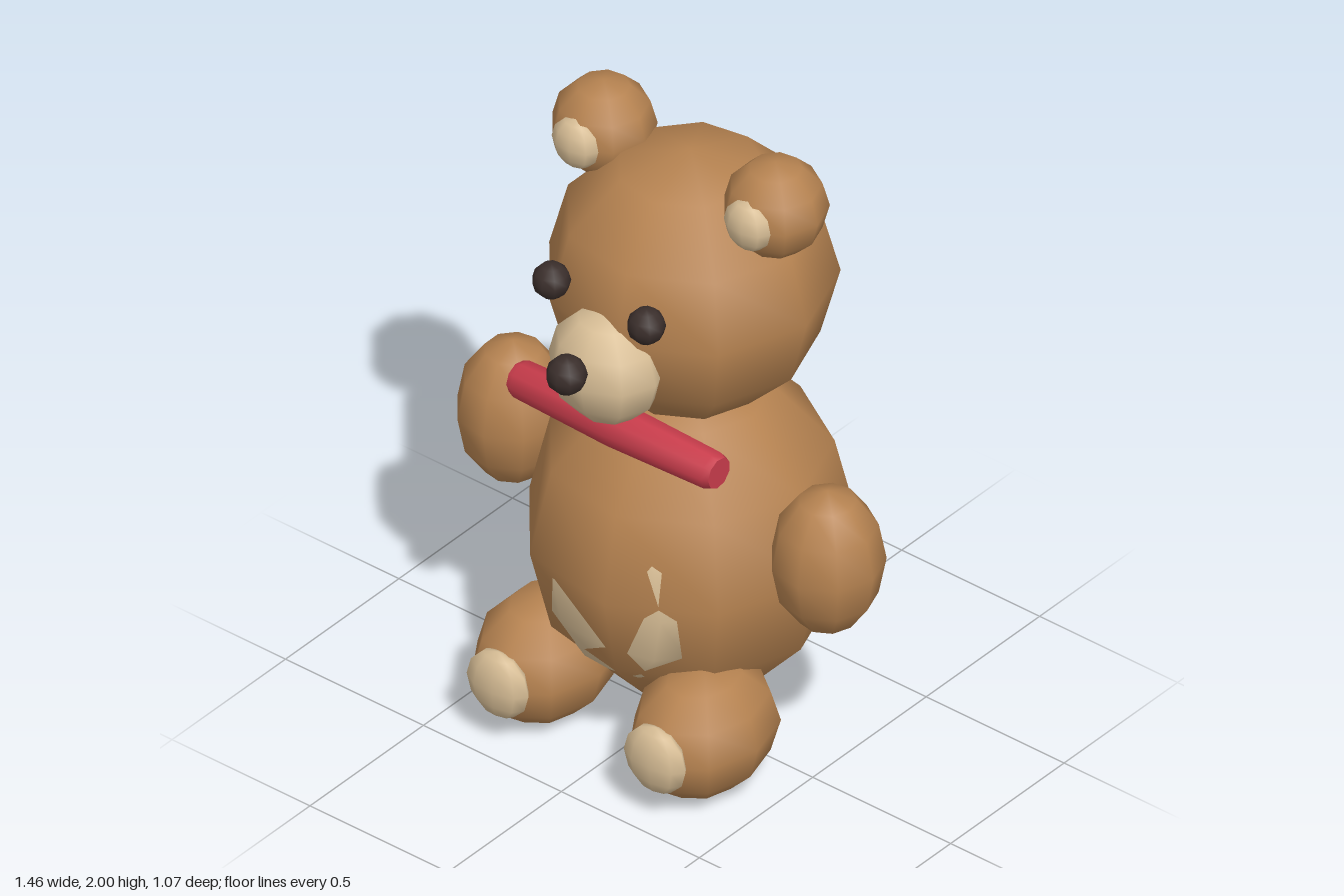
import * as THREE from 'three';
import { toCreasedNormals } from 'three/addons/utils/BufferGeometryUtils.js';

const material = (color) => new THREE.MeshStandardMaterial({ color });

export function createModel() {
  const model = new THREE.Group();
  const fur = material(0xb58250);
  const tan = material(0xd8be96);
  const dark = material(0x3a2e2b);
  const red = material(0xc83c4b);

  // One coarse sphere, turned so a column of corners lies on +x
  const ball = new THREE.SphereGeometry(1, 9, 6).rotateY(Math.PI);

  function blob(name, mat, position, radii) {
    const mesh = new THREE.Mesh(ball, mat);
    mesh.name = name;
    mesh.position.set(...position);
    mesh.scale.set(...radii);
    model.add(mesh);
  }

  // Torso and belly patch
  blob('body', fur, [0, 0.63, -0.06], [0.47, 0.53, 0.477]);
  blob('belly', tan, [0, 0.59, 0.257], [0.29, 0.3, 0.12]);

  // Head and face
  blob('head', fur, [0, 1.48, -0.07], [0.42, 0.42, 0.42]);
  blob('muzzle', tan, [0, 1.366, 0.3], [0.178, 0.178, 0.152]);
  blob('nose', dark, [0, 1.425, 0.477], [0.06, 0.06, 0.06]);

  // Paired parts
  for (const [side, s] of [['left', 1], ['right', -1]]) {
    blob(side + 'Eye', dark, [s * 0.172, 1.594, 0.335], [0.056, 0.056, 0.056]);
    blob(side + 'Ear', fur, [s * 0.312, 1.85, -0.065], [0.152, 0.15, 0.152]);
    blob(side + 'InnerEar', tan, [s * 0.312, 1.85, 0.055], [0.08, 0.08, 0.05]);
    blob(side + 'Arm', fur, [s * 0.57, 0.798, 0.02], [0.165, 0.233, 0.167]);
    blob(side + 'Leg', fur, [s * 0.285, 0.2, 0.217], [0.193, 0.2, 0.247]);
    blob(side + 'FootPad', tan, [s * 0.285, 0.205, 0.43], [0.108, 0.108, 0.052]);
  }

  // Rolled scarf across the neck, slightly fuller in the middle
  const profile = [[0, -0.366], [0.048, -0.366], [0.057, -0.345], [0.067, 0],
    [0.057, 0.345], [0.048, 0.366], [0, 0.366]].map(([r, y]) => new THREE.Vector2(r, y));
  const roll = toCreasedNormals(new THREE.LatheGeometry(profile, 9), 0.8);
  const scarf = new THREE.Mesh(roll, red);
  scarf.name = 'scarf';
  scarf.rotation.z = Math.PI / 2;
  scarf.position.set(0, 1.125, 0.25);
  model.add(scarf);

  return model;
}
